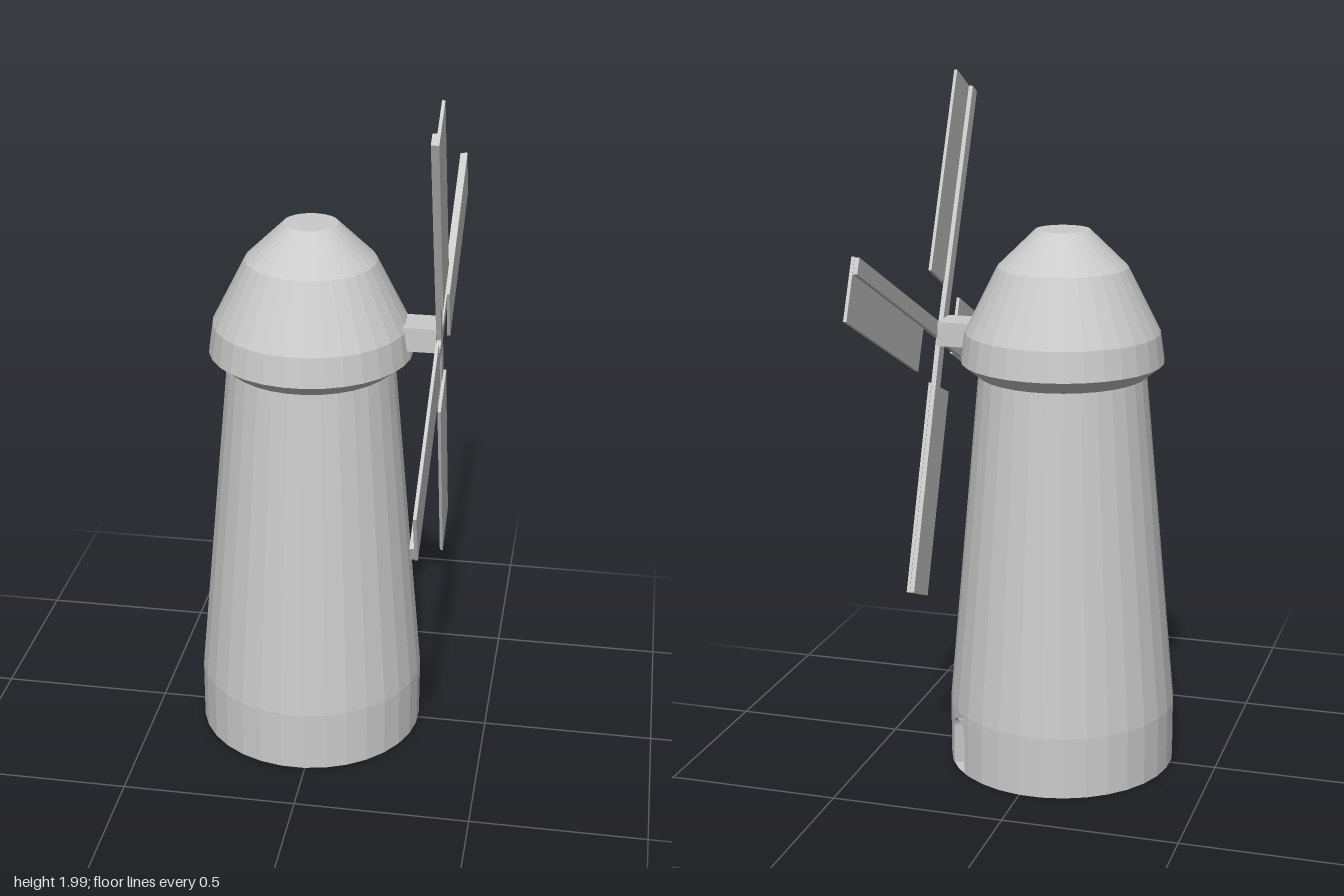
import * as THREE from 'three';

const SIDES = 32;
const STEP = (Math.PI * 2) / SIDES;
const RADIUS = 0.33;          // foot of the tower
const FOOT = 0.18;            // height of the straight foot
const DOOR_ANGLE = 2.25;      // direction of the door, measured from +z towards +x
const START = DOOR_ANGLE + STEP;

export function createModel() {
  const model = new THREE.Group();
  const grey = new THREE.MeshStandardMaterial({ color: 0xcccccc, flatShading: true, side: THREE.DoubleSide });

  const add = (parent, name, geometry, x = 0, y = 0, z = 0) => {
    const mesh = new THREE.Mesh(geometry, grey);
    mesh.name = name;
    mesh.position.set(x, y, z);
    parent.add(mesh);
    return mesh;
  };
  const lathe = (points, sides = SIDES, length = Math.PI * 2) =>
    new THREE.LatheGeometry(points.map(([r, y]) => new THREE.Vector2(r, y)), sides, START, length);

  // Round tower, with the foot left open where the door goes
  const tower = new THREE.Group();
  tower.name = 'tower';
  tower.position.set(-0.035, 0, -0.006);
  model.add(tower);
  add(tower, 'towerFoot', lathe([[RADIUS, 0], [RADIUS, FOOT]], SIDES - 2, Math.PI * 2 - 2 * STEP));
  add(tower, 'towerWall', lathe([[RADIUS, FOOT], [0.24, 1.165]]));
  add(tower, 'towerFloor', lathe([[0, 0], [RADIUS, 0]]));

  // Domed cap
  add(tower, 'cap', lathe([[0.24, 1.16], [0.29, 1.2], [0.278, 1.285], [0.185, 1.47], [0.077, 1.575], [0, 1.575]]));

  // Wall piece with an arched doorway, bent round the tower
  const half = RADIUS * STEP;
  const doorHalf = 0.042;
  const wall = new THREE.Shape([[-half, 0], [-doorHalf, 0]].map(([x, y]) => new THREE.Vector2(x, y)));
  wall.lineTo(-doorHalf, 0.115);
  wall.absarc(0, 0.115, doorHalf, Math.PI, 0, true);
  wall.lineTo(doorHalf, 0);
  wall.lineTo(half, 0);
  wall.lineTo(half, FOOT);
  wall.lineTo(0, FOOT);
  wall.lineTo(-half, FOOT);
  const bend = (geometry) => {
    const p = geometry.attributes.position;
    for (let i = 0; i < p.count; i++) {
      const angle = DOOR_ANGLE + p.getX(i) / RADIUS;
      const r = RADIUS + p.getZ(i);
      p.setXYZ(i, r * Math.sin(angle), p.getY(i), r * Math.cos(angle));
    }
    geometry.computeVertexNormals();
    return geometry;
  };
  const surround = new THREE.ExtrudeGeometry(wall, { depth: 0.03, bevelEnabled: false, curveSegments: 8 });
  add(tower, 'doorSurround', bend(surround.translate(0, 0, -0.03)));
  const door = new THREE.PlaneGeometry(half * 2, FOOT, 4, 1);
  add(tower, 'door', bend(door.translate(0, FOOT / 2, -0.03)));

  // Sail axle
  add(model, 'axle', new THREE.BoxGeometry(0.16, 0.07, 0.107), 0.245, 1.265, -0.006);

  // Four sails turning about x, the whole wheel slightly yawed
  const sails = new THREE.Group();
  sails.name = 'sails';
  sails.position.set(0.338, 1.254, -0.003);
  sails.rotation.y = 0.02;
  model.add(sails);
  const inner = 0.148, outer = 0.75, edge = 0.026, width = 0.17;
  for (const degrees of [24.7, 116, 204.8, 292]) {
    const sail = new THREE.Group();
    sail.name = 'sail';
    sail.rotation.x = THREE.MathUtils.degToRad(degrees);
    sails.add(sail);
    add(sail, 'sailPanel', new THREE.BoxGeometry(0.009, width, outer - inner), 0.002, edge - width / 2, -(inner + outer) / 2);
    add(sail, 'sailArm', new THREE.BoxGeometry(0.014, 0.044, outer), -0.008, 0.002, -outer / 2 + 0.001);
  }
  return model;
}
